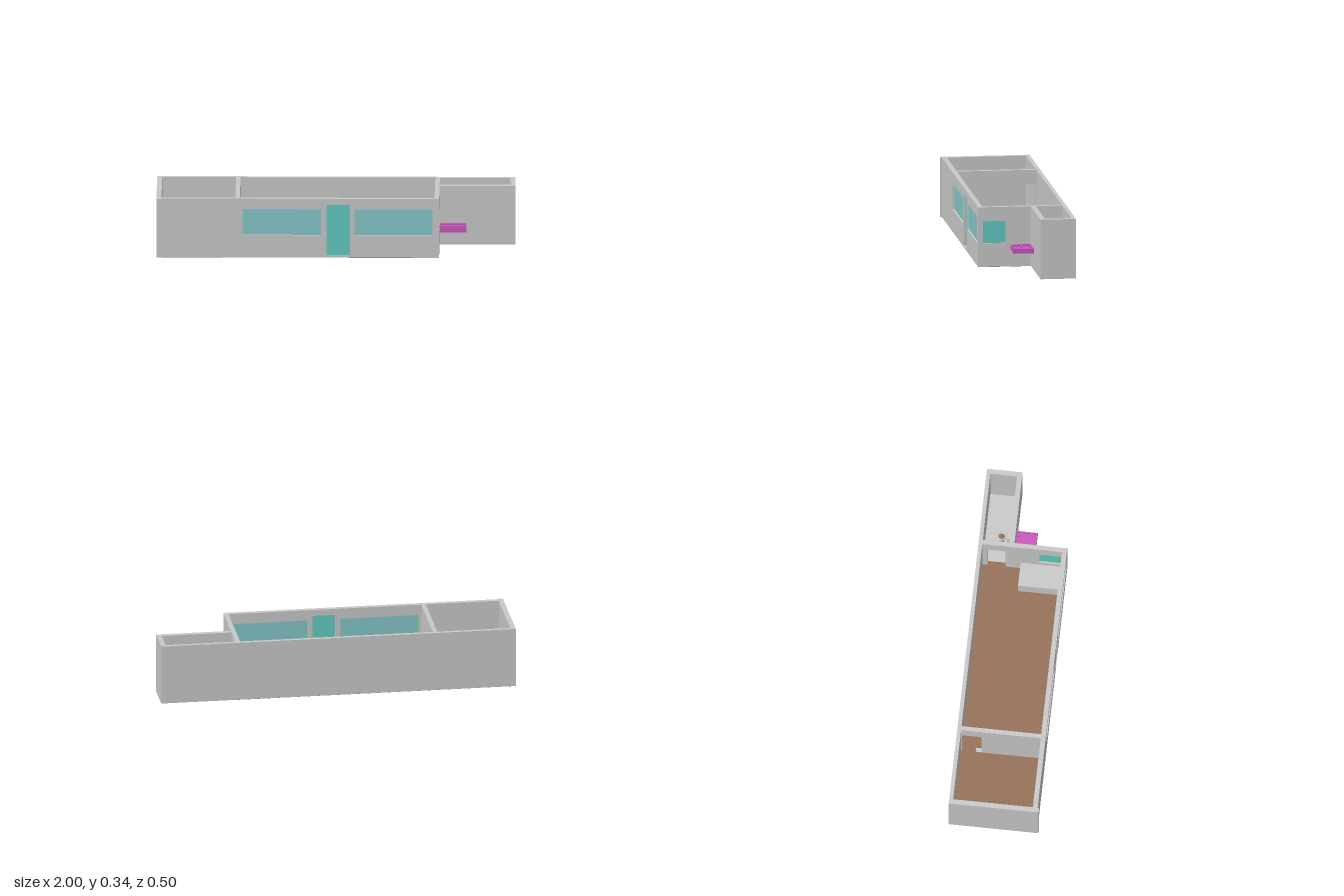
import * as THREE from 'three';

const mat = (name, color) => {
  const m = new THREE.MeshStandardMaterial({ color });
  m.name = name;
  return m;
};

export function createModel() {
  const house = new THREE.Group();
  house.name = 'house';
  const grey = mat('wallGrey', 0xc8c8c8);
  const teal = mat('doorTeal', 0x62c9c0);
  const glass = mat('paleGlass', 0x84c6c8);
  const brown = mat('floorBrown', 0x946e56);
  const magenta = mat('benchMagenta', 0xc855b9);
  const BASE = 0.002, TOP = 0.34;

  const add = (name, geometry, material) => {
    const m = new THREE.Mesh(geometry, material);
    m.name = name;
    house.add(m);
    return m;
  };
  // Box given by its low and high limits on each axis
  const box = (name, material, x0, x1, y0, y1, z0, z1) => {
    const g = new THREE.BoxGeometry(x1 - x0, y1 - y0, z1 - z0);
    g.translate((x0 + x1) / 2, (y0 + y1) / 2, (z0 + z1) / 2);
    return add(name, g, material);
  };
  // Wall with rectangular openings [a0, a1, y0, y1]
  const wallGeometry = (a0, a1, depth, openings) => {
    const s = new THREE.Shape();
    s.moveTo(a0, BASE).lineTo(a1, BASE).lineTo(a1, TOP).lineTo(a0, TOP).closePath();
    for (const [b0, b1, y0, y1] of openings) {
      const h = new THREE.Path();
      h.moveTo(b0, y0).lineTo(b0, y1).lineTo(b1, y1).lineTo(b1, y0).closePath();
      s.holes.push(h);
    }
    return new THREE.ExtrudeGeometry(s, { depth, bevelEnabled: false });
  };
  const wallAlongX = (name, x0, x1, z0, z1, openings = []) =>
    add(name, wallGeometry(x0, x1, z1 - z0, openings).translate(0, 0, z0), grey);
  const wallAlongZ = (name, x0, x1, z0, z1, openings = []) =>
    add(name, wallGeometry(z0, z1, x1 - x0, openings).rotateY(-Math.PI / 2).translate(x1, 0, 0), grey);

  // Floors
  box('smallRoomFloor', brown, -0.973, -0.547, 0, 0.012, -0.248, 0.24);
  box('mainRoomFloor', brown, -0.547, 0.575, 0, 0.012, -0.248, 0.24);
  box('annexFloor', grey, 0.577, 0.973, 0, 0.012, -0.231, -0.079);

  // Walls
  const frontWindows = [[-0.52, -0.08, 0.13, 0.28], [0.105, 0.54, 0.13, 0.28]];
  const door = [-0.05, 0.08, 0.012, 0.305];
  const sideWindow = [0.09, 0.215, 0.135, 0.26];
  wallAlongX('backWall', -1, 1, -0.252, -0.23);
  wallAlongX('frontWall', -0.972, 0.578, 0.217, 0.244, [...frontWindows, door]);
  wallAlongZ('endWall', -1, -0.972, -0.23, 0.252);
  wallAlongZ('partitionWall', -0.56, -0.535, -0.23, 0.217, [[-0.225, -0.115, 0.012, 0.26]]);
  wallAlongZ('sideWall', 0.552, 0.578, -0.23, 0.217,
    [[-0.2, -0.1, 0.012, 0.26], [sideWindow[0], 0.2165, sideWindow[2], sideWindow[3]]]);
  wallAlongX('annexFrontWall', 0.578, 1, -0.08, -0.052);
  wallAlongZ('annexEndWall', 0.972, 1, -0.23, -0.08);

  // Door and windows, set back into their openings
  for (const [x0, x1, y0, y1] of frontWindows) box('frontWindow', glass, x0, x1, y0, y1, 0.226, 0.233);
  box('frontDoor', teal, ...door, 0.224, 0.233);
  box('doorStep', grey, -0.07, 0.09, 0.012, 0.018, 0.209, 0.217);
  box('sideWindow', teal, 0.561, 0.569, sideWindow[2], sideWindow[3], sideWindow[0], sideWindow[1]);

  // Corner counter
  box('counter', grey, 0.415, 0.552, 0.012, 0.1, -0.015, 0.217);

  // Outdoor bench: a slab with raised rims and a middle divider
  box('benchSlab', magenta, 0.579, 0.728, 0.1, 0.115, -0.052, 0.063);
  for (const z of [-0.052, -0.001, 0.003, 0.055])
    box('benchRail', magenta, 0.579, 0.728, 0.115, 0.126, z, z + 0.008);
  for (const x of [0.579, 0.722])
    box('benchEndRail', magenta, x, x + 0.006, 0.115, 0.126, -0.052, 0.063);

  // Toilet in the annex
  const bowl = [[0, 0.012], [0.016, 0.012], [0.014, 0.035], [0.027, 0.065], [0.027, 0.07], [0.018, 0.07], [0.016, 0.062]]
    .map(([r, y]) => new THREE.Vector2(r, y));
  add('toiletBowl', new THREE.LatheGeometry(bowl, 20), grey).position.set(0.71, 0, -0.137);
  add('toiletBowlInside', new THREE.CylinderGeometry(0.0165, 0.0165, 0.004, 20), brown).position.set(0.71, 0.064, -0.137);
  box('toiletTank', grey, 0.68, 0.74, 0.05, 0.115, -0.106, -0.08);
  box('paperHolder', grey, 0.625, 0.633, 0.07, 0.08, -0.096, -0.08);

  return house;
}
